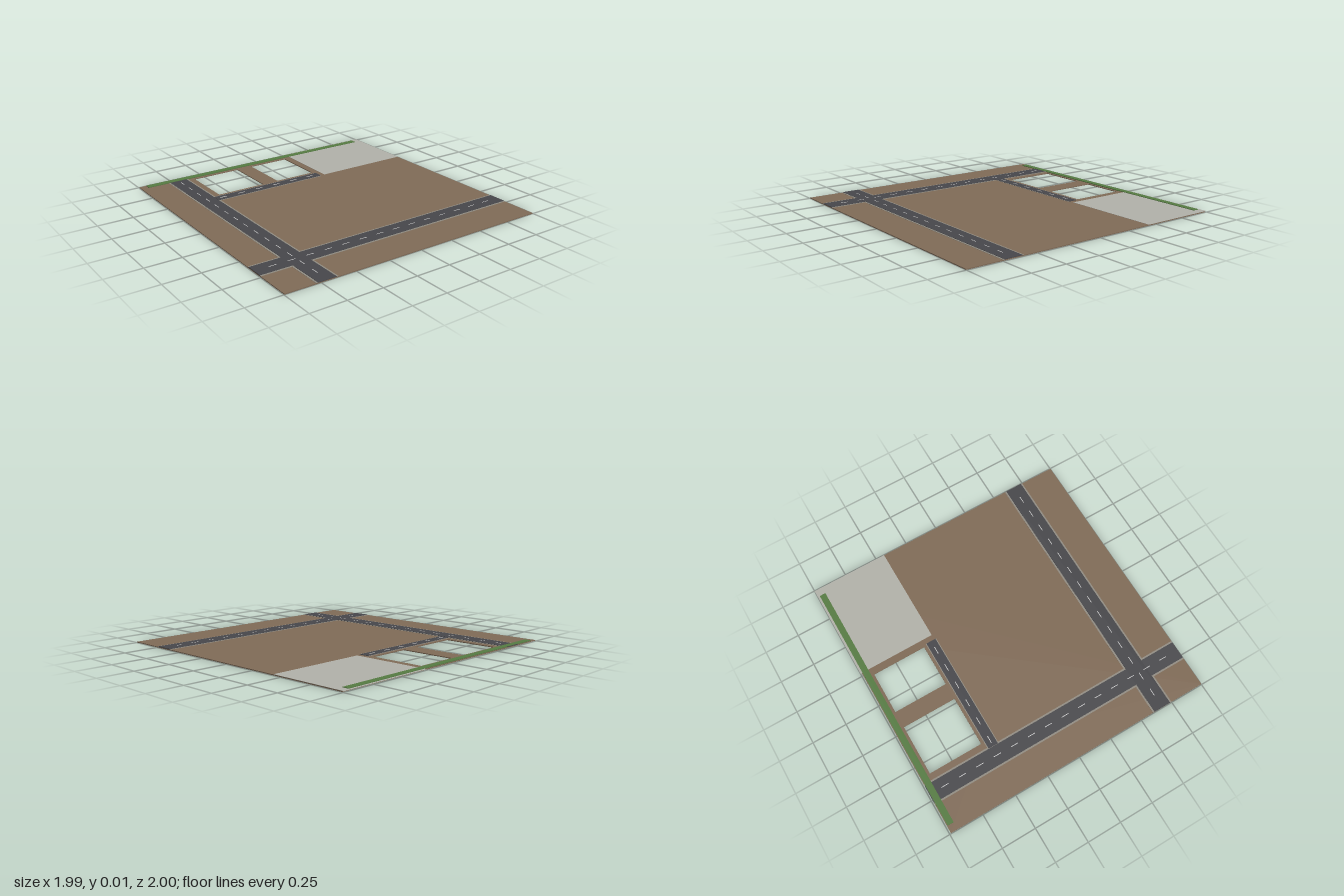
import * as THREE from 'three';

const GROUND = 0.006; // top of the ground plate

export function createModel() {
  const model = new THREE.Group();
  const mat = (color) => new THREE.MeshStandardMaterial({ color });
  const earth = mat(0x7f6a56), asphalt = mat(0x46464a), kerb = mat(0x8f8a80);
  const concrete = mat(0xb0b0a8), grass = mat(0x557a42), paint = mat(0xc8c8c4);

  // Flat block given by its plan limits and its bottom and top heights
  function slab(name, material, x0, x1, z0, z1, top, bottom = GROUND, parent = model) {
    const mesh = new THREE.Mesh(new THREE.BoxGeometry(x1 - x0, top - bottom, z1 - z0), material);
    mesh.position.set((x0 + x1) / 2, (top + bottom) / 2, (z0 + z1) / 2);
    mesh.name = name;
    parent.add(mesh);
  }

  // Rectangle in plan; shape y is -z
  function rect(PathType, x0, x1, z0, z1) {
    return new PathType([[x0, -z0], [x0, -z1], [x1, -z1], [x1, -z0]].map((p) => new THREE.Vector2(...p)));
  }

  // Ground plate with two rectangular pits
  const plan = rect(THREE.Shape, -0.997, 0.995, -0.99, 1);
  plan.holes.push(rect(THREE.Path, -0.586, -0.218, -0.92, -0.525));
  plan.holes.push(rect(THREE.Path, -0.096, 0.218, -0.92, -0.525));
  const groundGeometry = new THREE.ExtrudeGeometry(plan, { depth: GROUND, bevelEnabled: false });
  groundGeometry.rotateX(-Math.PI / 2);
  const ground = new THREE.Mesh(groundGeometry, earth);
  ground.name = 'ground';
  model.add(ground);

  // Paved yard in the back corner
  slab('pavedYard', concrete, 0.27, 0.995, -1, -0.435, 0.0075);

  // Road along x or z: kerb strips, asphalt on top and a dashed centre line
  function road(name, alongX, start, end, centre, width, kerbWidth, top, dashStart, dashEnd, count) {
    const group = new THREE.Group();
    group.name = name;
    const strip = (part, material, a, b, c, w, height, bottom) => alongX
      ? slab(part, material, a, b, c - w / 2, c + w / 2, height, bottom, group)
      : slab(part, material, c - w / 2, c + w / 2, a, b, height, bottom, group);
    for (const side of [-1, 1]) {
      strip('kerb', kerb, start, end, centre + side * (width + kerbWidth) / 2, kerbWidth, 0.0078, GROUND);
    }
    strip('asphalt', asphalt, start, end, centre, width, top, GROUND);
    const dash = 0.055, step = (dashEnd - dashStart - dash) / (count - 1);
    for (let i = 0; i < count; i++) {
      const a = dashStart + i * step;
      strip('laneDash', paint, a, a + dash, centre, 0.005, 0.0103, 0.008);
    }
    model.add(group);
  }
  road('frontRoad', true, -0.997, 0.995, 0.672, 0.128, 0.012, 0.0095, -0.9, 0.9, 14);
  road('sideRoad', false, -0.99, 1, -0.707, 0.13, 0.012, 0.009, -0.9, 0.9, 14);
  road('accessRoad', true, -0.64, 0.232, -0.462, 0.072, 0.006, 0.0085, -0.615, 0.18, 6);

  // Grass verge along the back edge
  slab('grassVerge', grass, -0.945, 0.94, -0.985, -0.94, 0.011);

  return model;
}
